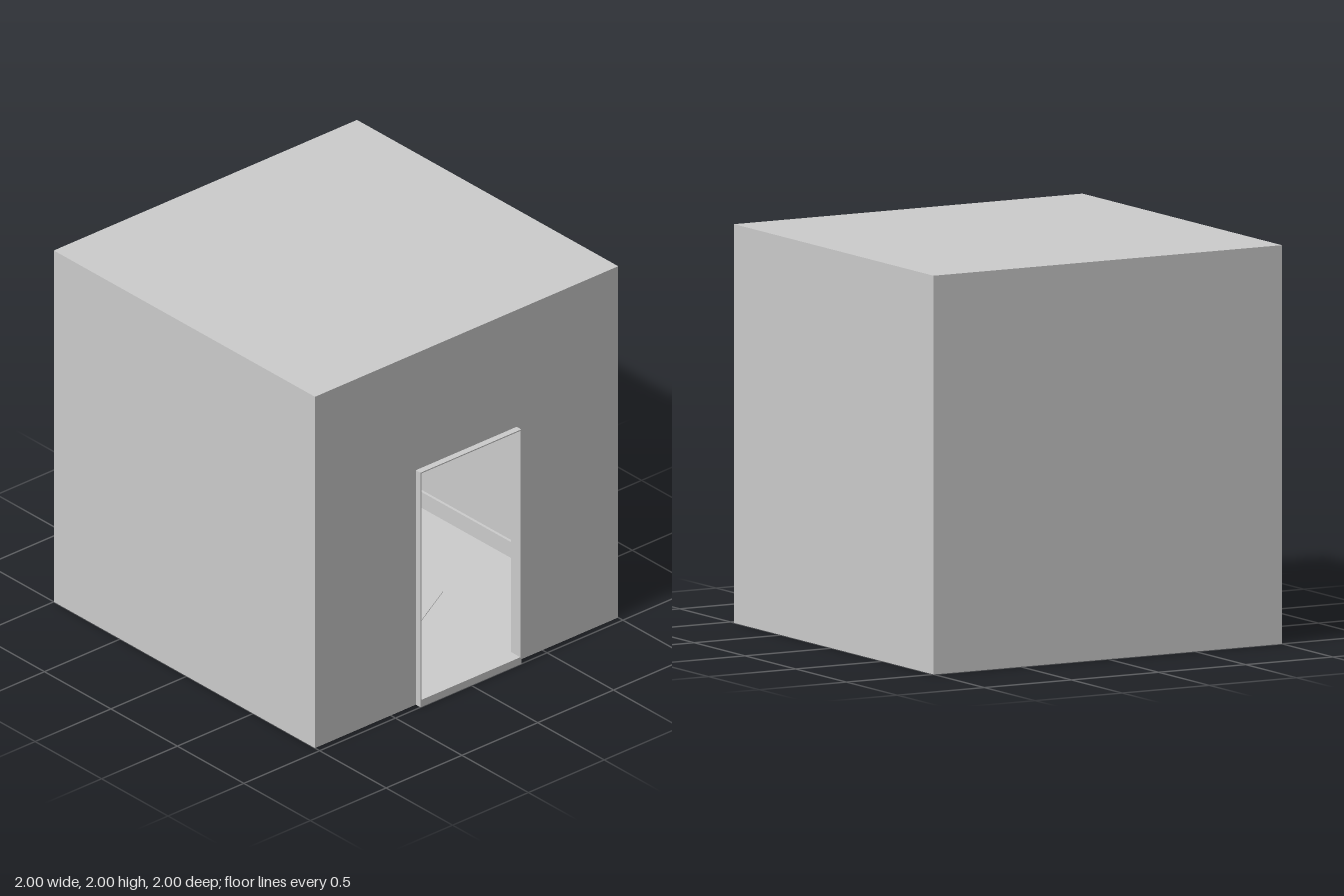
import * as THREE from 'three';

const grey = new THREE.MeshStandardMaterial({ color: 0xcccccc, flatShading: true, side: THREE.DoubleSide });

export function createModel() {
  const model = new THREE.Group();

  function add(parent, name, geometry, x = 0, y = 0, z = 0) {
    const mesh = new THREE.Mesh(geometry, grey);
    mesh.name = name;
    mesh.position.set(x, y, z);
    parent.add(mesh);
    return mesh;
  }
  // Box given by its lower and upper corners
  const box = (parent, name, [x0, y0, z0], [x1, y1, z1]) =>
    add(parent, name, new THREE.BoxGeometry(x1 - x0, y1 - y0, z1 - z0),
      (x0 + x1) / 2, (y0 + y1) / 2, (z0 + z1) / 2);
  const group = (name) => {
    const g = new THREE.Group();
    g.name = name;
    model.add(g);
    return g;
  };

  // Room shell
  const T = 0.035, FRONT = 0.965, BACK = -1;
  const L = -0.335, R = 0.33, DOOR = 1.335;
  const room = group('room');
  box(room, 'floor', [-1, 0, BACK], [1, 0.04, FRONT]);
  box(room, 'ceiling', [-1, 2 - T, BACK], [1, 2, FRONT]);
  box(room, 'backWall', [-1, 0.04, BACK], [1, 2 - T, BACK + T]);
  for (const s of [-1, 1]) {
    const a = s < 0 ? -1 : 1 - T;
    box(room, s < 0 ? 'rightWall' : 'leftWall', [a, 0.04, BACK + T], [a + T, 2 - T, FRONT]);
  }

  // Front wall with the doorway cut out
  const wall = new THREE.Shape();
  [[-1, 0], [L, 0], [L, DOOR], [R, DOOR], [R, 0], [1, 0], [1, 2], [-1, 2]].forEach(([x, y], i) =>
    i ? wall.lineTo(x, y) : wall.moveTo(x, y));
  wall.closePath();
  add(room, 'frontWall', new THREE.ExtrudeGeometry(wall, { depth: T, bevelEnabled: false }), 0, 0, FRONT - T);

  // Thin door surround and sill
  const J = 0.006, door = group('doorFrame');
  box(door, 'sill', [L, 0, FRONT - T], [R, 0.04, 1]);
  box(door, 'jamb', [L, 0.04, FRONT - T], [L + J, DOOR, 1]);
  box(door, 'jamb', [R - J, 0.04, FRONT - T], [R, DOOR, 1]);
  box(door, 'lintel', [L, DOOR - J, FRONT - T], [R, DOOR, 1]);

  // Bevelled wall plaques: ten-sided mirrors and square panels, facing +z
  function mirrorGeometry(rx, ry, depth) {
    const g = new THREE.CylinderGeometry(0.87, 1, depth, 10);
    g.rotateX(Math.PI / 2);
    return g.scale(rx, ry, 1);
  }
  const zWall = BACK + T;
  add(model, 'ovalMirror', mirrorGeometry(0.21, 0.33, 0.05), -0.085, 1.06, zWall + 0.025);
  add(model, 'roundMirror', mirrorGeometry(0.2, 0.2, 0.05), 0.4, 0.345, zWall + 0.025);
  const sideMirror = mirrorGeometry(0.21, 0.26, 0.06);
  sideMirror.rotateY(-Math.PI / 2);
  add(model, 'sideMirror', sideMirror, 0.97, 1.16, 0.65);

  for (const [x, y] of [[-0.1, 0.475], [0.45, 1.165]]) {
    const g = new THREE.CylinderGeometry(0.113 * Math.SQRT2, 0.165 * Math.SQRT2, 0.08, 4);
    g.rotateY(Math.PI / 4);
    g.rotateX(Math.PI / 2);
    add(model, 'squarePanel', g, x, y, zWall + 0.04);
  }

  // Picture with a raised border
  const picture = group('picture');
  const [px0, px1, py0, py1, b] = [0.135, 0.6, 0.59, 0.94, 0.025];
  box(picture, 'canvas', [px0 + b, py0 + b, zWall], [px1 - b, py1 - b, zWall + 0.015]);
  for (const x of [px0, px1 - b]) box(picture, 'sideBorder', [x, py0, zWall], [x + b, py1, zWall + 0.03]);
  for (const y of [py0, py1 - b]) box(picture, 'crossBorder', [px0 + b, y, zWall], [px1 - b, y + b, zWall + 0.03]);

  // Skirting along the side and back walls
  box(room, 'skirting', [-1 + T, 0.04, zWall], [-0.95, 0.13, FRONT - T]);
  box(room, 'skirting', [0.95, 0.04, zWall], [1 - T, 0.13, FRONT - T]);

  // Rug laid askew
  const rug = add(model, 'rug', new THREE.BoxGeometry(0.8, 0.004, 0.9), -0.1, 0.042, 0.05);
  rug.rotation.y = 0.5;

  // Lattice racks: bars across two faces around solid shelves
  function rack(name, [x0, y0, z0], [x1, y1, z1], rows, cols) {
    const g = group(name), t = 0.012;
    for (let i = 0; i <= rows; i++) {
      const y = y0 + (y1 - y0 - t) * i / rows;
      box(g, 'shelf', [x0, y, z0], [x1, y + t, z1]);
    }
    for (let i = 0; i <= cols; i++) {
      const z = z0 + (z1 - z0 - t) * i / cols;
      box(g, 'upright', [x1 - t, y0, z], [x1, y1, z + t]);
      box(g, 'upright', [x0, y0, z], [x0 + t, y1, z + t]);
    }
  }
  rack('upperRack', [-0.42, 0.7, 0.58], [-0.29, 1.1, 0.92], 6, 5);
  rack('lowerRack', [-0.95, 0.26, 0.4], [-0.58, 0.52, 0.92], 5, 7);
  box(model, 'cabinet', [-0.96, 0.04, 0.4], [-0.56, 0.26, 0.92]);

  // Heap of boxes and books on the floor by the back wall
  const heap = group('heap');
  box(heap, 'uprightBox', [0.065, 0.05, -0.72], [0.2, 0.24, -0.58]);
  box(heap, 'lowBook', [0.19, 0.04, -0.75], [0.25, 0.09, -0.55]);
  box(heap, 'lowBook', [0.31, 0.04, -0.75], [0.43, 0.09, -0.55]);
  box(heap, 'shelfBoard', [-0.23, 0.14, -0.93], [-0.02, 0.185, -0.82]);
  const books = [
    [-0.06, 0.095, -0.6, 0.22, 0.05, 0.14, 0.3, 0.22],
    [-0.11, 0.11, -0.76, 0.2, 0.04, 0.14, -0.3, 0.5],
    [0.08, 0.2, -0.82, 0.12, 0.13, 0.05, 0.1, -0.1],
    [0.07, 0.09, -0.82, 0.13, 0.1, 0.1, 0.2, 0]
  ];
  for (const [x, y, z, w, h, d, ry, rz] of books)
    add(heap, 'book', new THREE.BoxGeometry(w, h, d), x, y, z).rotation.set(0, ry, rz);

  return model;
}
